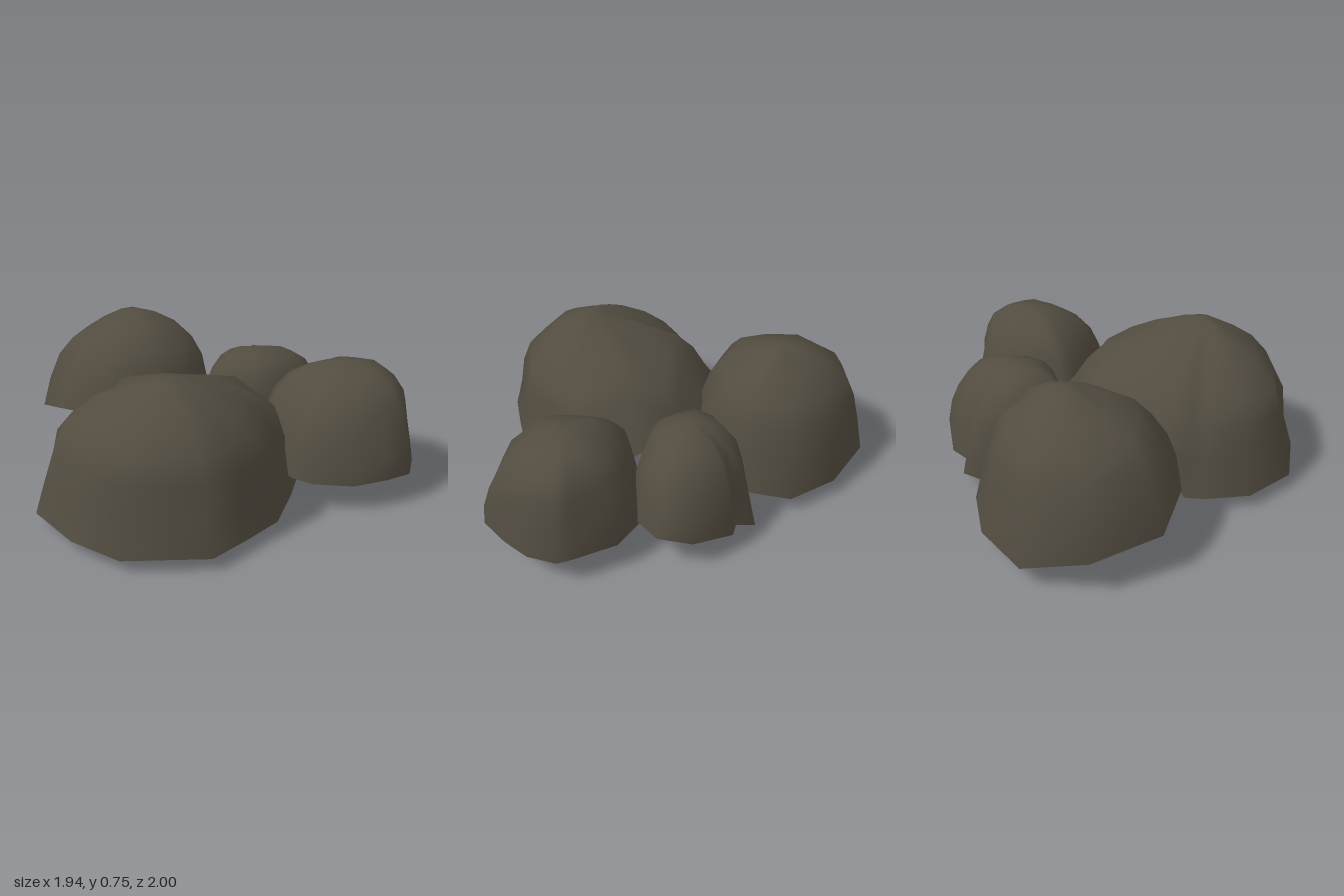
import * as THREE from 'three';

const stone = new THREE.MeshStandardMaterial({ color: 0x524c40, side: THREE.DoubleSide });
stone.name = 'dark stone';

// small seeded generator for the lumps
function seeded(seed) {
  let s = seed;
  return () => ((s = (s * 16807) % 2147483647) / 2147483647) - 0.5;
}

// A boulder is an open shell: an irregular rim [x, z, slope], shrunk ring by ring
// ([height, scale] pairs) towards its peak [x, y, z]. A slope above 1 makes that
// side lean in more.
function boulder(name, { rim, rimY, core, peak, levels, lump, seed }) {
  const rand = seeded(seed);
  const n = rim.length;
  const pos = [];
  const index = [];
  levels.forEach(([h, s], r) => {
    rim.forEach(([x, z, slope = 1]) => {
      const y0 = rimY(x, z);
      const cx = core[0] + (peak[0] - core[0]) * h * h;
      const cz = core[1] + (peak[2] - core[1]) * h * h;
      const k = r === 0 ? 1 : s ** slope * (1 + rand() * lump);
      const up = r === 0 ? 0 : rand() * lump * 0.3;
      pos.push(cx + (x - core[0]) * k, y0 + (peak[1] - y0) * h + up, cz + (z - core[1]) * k);
    });
  });
  pos.push(...peak);
  const top = levels.length * n;
  for (let r = 0; r < levels.length; r++) {
    for (let i = 0; i < n; i++) {
      const a = r * n + i, b = r * n + ((i + 1) % n);
      if (r === levels.length - 1) index.push(a, b, top);
      else index.push(a, b, b + n, a, b + n, a + n);
    }
  }
  const g = new THREE.BufferGeometry();
  g.setAttribute('position', new THREE.Float32BufferAttribute(pos, 3));
  g.setIndex(index);
  g.computeVertexNormals();
  const mesh = new THREE.Mesh(g, stone);
  mesh.name = name;
  return mesh;
}

export function createModel() {
  const group = new THREE.Group();
  group.name = 'boulders';

  // rims run counter-clockwise seen from above; the large one is cut away where it meets the others
  group.add(boulder('largeBoulder', {
    rim: [[0.2, -0.03, 1.5], [-0.03, -0.23, 1.3], [-0.3, -0.2, 1.6], [-0.62, -0.12, 1.6], [-0.72, -0.05, 1.3],
      [-0.8, 0.01, 1.2], [-0.94, 0.19, 1.1], [-0.97, 0.49, 1.1], [-0.8, 0.77, 1.2], [-0.59, 0.96, 1.1],
      [-0.19, 1.0, 1.15], [-0.02, 0.87, 1.1], [0.15, 0.73], [0.27, 0.48], [0.34, 0.3]],
    rimY: (x, z) => ((z < -0.1 && x < -0.2) || (x > 0.1 && z < 0) ? 0.3 : 0.07),
    core: [-0.33, 0.42],
    peak: [-0.33, 0.745, 0.53],
    levels: [[0, 1], [0.25, 0.92], [0.48, 0.86], [0.64, 0.77], [0.79, 0.58], [0.9, 0.37], [0.97, 0.17]],
    lump: 0.04, seed: 11,
  }));

  group.add(boulder('backBoulder', {
    rim: [[-0.59, -1.0], [-0.85, -0.84], [-0.97, -0.51, 1.1], [-0.87, -0.27, 1.4], [-0.69, -0.09, 1.5],
      [-0.35, -0.08, 1.3], [-0.1, -0.2, 1.3], [0.01, -0.42, 1.1], [0.02, -0.58, 1.2], [-0.02, -0.78, 1.45],
      [-0.26, -0.94, 1.3]],
    rimY: (x, z) => Math.max(0.09, 0.12 - (x + 0.65) * 0.3 + Math.max(0, z + 0.5) * 0.45),
    core: [-0.48, -0.54],
    peak: [-0.4, 0.755, -0.55],
    levels: [[0, 1], [0.3, 0.93], [0.55, 0.84], [0.72, 0.72], [0.87, 0.49], [0.96, 0.25]],
    lump: 0.04, seed: 29,
  }));

  group.add(boulder('sideBoulder', {
    rim: [[0.97, 0.2, 1.15], [0.95, 0.05, 1.15], [0.89, -0.01, 1.15], [0.72, -0.15, 1.3], [0.54, -0.18, 1.3],
      [0.34, -0.11, 1.3], [0.17, 0.02], [0.15, 0.12], [0.22, 0.3], [0.27, 0.47, 1.1], [0.36, 0.55, 1.25],
      [0.55, 0.6, 1.3], [0.73, 0.56, 1.25], [0.86, 0.51, 1.2], [0.93, 0.35, 1.15]],
    rimY: () => 0.155,
    core: [0.57, 0.2],
    peak: [0.62, 0.645, 0.17],
    levels: [[0, 1], [0.22, 0.97], [0.45, 0.9], [0.65, 0.82], [0.83, 0.68], [0.94, 0.46], [0.99, 0.24]],
    lump: 0.04, seed: 53,
  }));

  // the small boulder leans, so its rim slopes up to the left
  group.add(boulder('smallBoulder', {
    rim: [[0.64, -0.32], [0.58, -0.48, 1.1], [0.38, -0.61, 1.2], [0.28, -0.59, 1.2], [0.22, -0.67, 1.7],
      [0.03, -0.57, 1.1], [-0.07, -0.4], [-0.12, -0.2], [0.02, -0.09], [0.2, -0.01], [0.4, -0.06], [0.56, -0.18]],
    rimY: (x, z) => Math.max(0, 0.03 + x * 0.26 + (z + 0.3) * 0.05),
    core: [0.27, -0.33],
    peak: [0.21, 0.58, -0.3],
    levels: [[0, 1], [0.3, 0.94], [0.55, 0.86], [0.76, 0.74], [0.9, 0.55], [0.98, 0.28]],
    lump: 0.05, seed: 71,
  }));

  return group;
}
